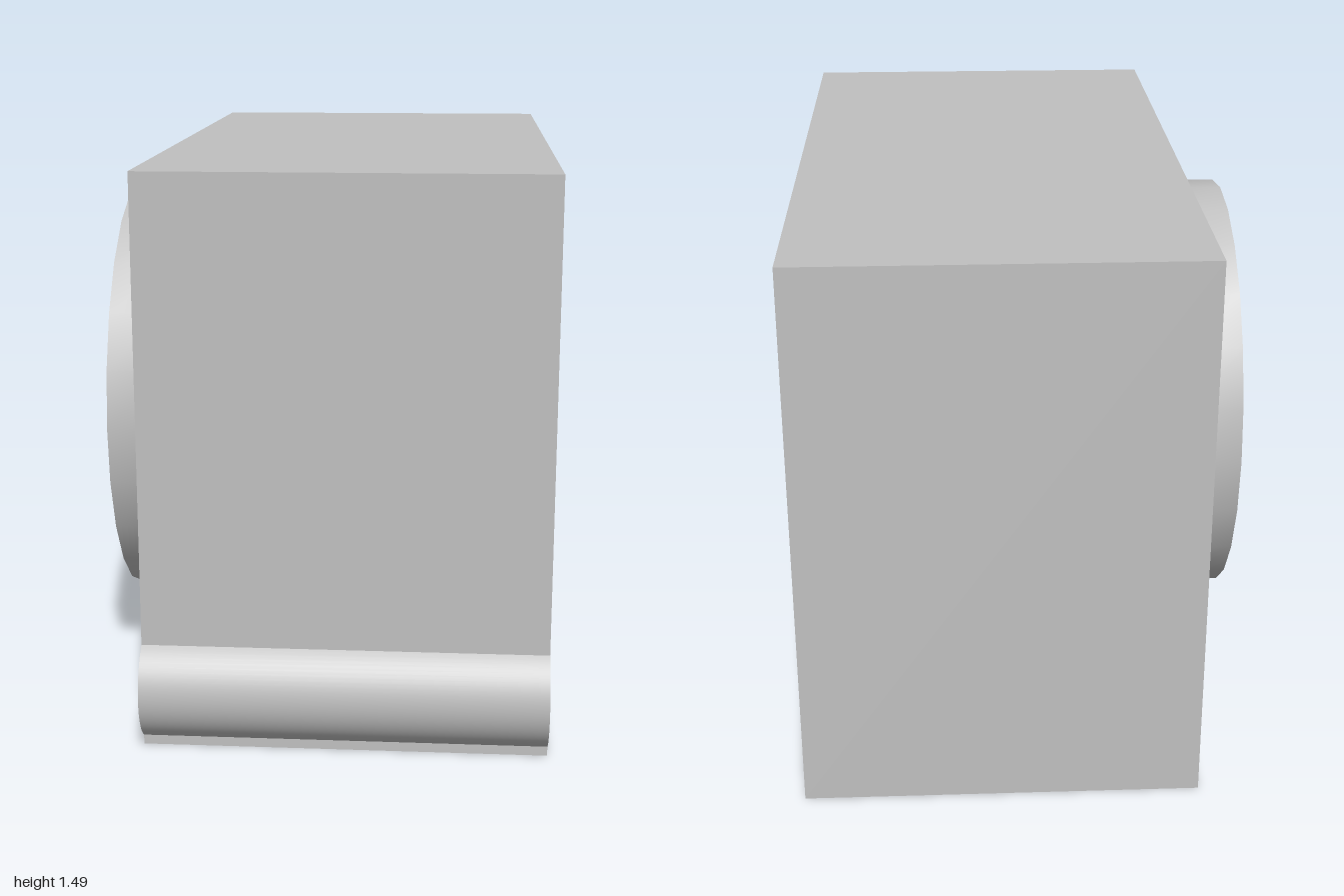
import * as THREE from 'three';
import { toCreasedNormals } from 'three/addons/utils/BufferGeometryUtils.js';

export function createModel() {
  const model = new THREE.Group();
  const grey = new THREE.MeshStandardMaterial({ color: 0xc0c0c0 });
  grey.name = 'grey';

  const add = (name, geometry, x, y, z) => {
    const mesh = new THREE.Mesh(geometry, grey);
    mesh.name = name;
    mesh.position.set(x, y, z);
    model.add(mesh);
  };

  // Profile drawn in (z, y), extruded towards -x, smooth around its curves
  const extrudeSideways = (shape, depth) => {
    const geometry = new THREE.ExtrudeGeometry(shape, { depth, bevelEnabled: false, curveSegments: 12 });
    geometry.rotateY(-Math.PI / 2);
    return toCreasedNormals(geometry, 0.75);
  };

  const left = 0.595, right = -0.45, width = left - right;
  const back = -1, front = 0.932, height = 1.49;

  // Main block
  add('body', new THREE.BoxGeometry(width, height, front - back),
    (left + right) / 2, height / 2, (front + back) / 2);

  // Rounded bead along the lower front edge
  const beadShape = new THREE.Shape();
  beadShape.absarc(-0.081, 0, 0.149, -0.995, 0.995, false);
  beadShape.closePath();
  add('frontBead', extrudeSideways(beadShape, width), left, 0.15, front);

  // Upright oval ring on the side, with a slightly slanted opening
  const outer = [];
  for (let i = 0; i < 24; i++) {
    const a = (i / 24) * Math.PI * 2;
    outer.push(new THREE.Vector2(0.565 * Math.cos(a), 0.61 * Math.sin(a)));
  }
  const halfHole = [[0.405, 0], [0.405, 0.18], [0.33, 0.34], [0.2, 0.43],
    [0.09, 0.465], [-0.03, 0.465], [-0.19, 0.39], [-0.34, 0.25]]
    .map(([z, y]) => new THREE.Vector2(z, y));
  const hole = [...halfHole, ...halfHole.map((p) => p.clone().negate())];
  const ringShape = new THREE.Shape(outer);
  ringShape.holes.push(new THREE.Path(hole));
  add('sideRing', extrudeSideways(ringShape, 0.15), right, 0.75, 0);

  return model;
}
